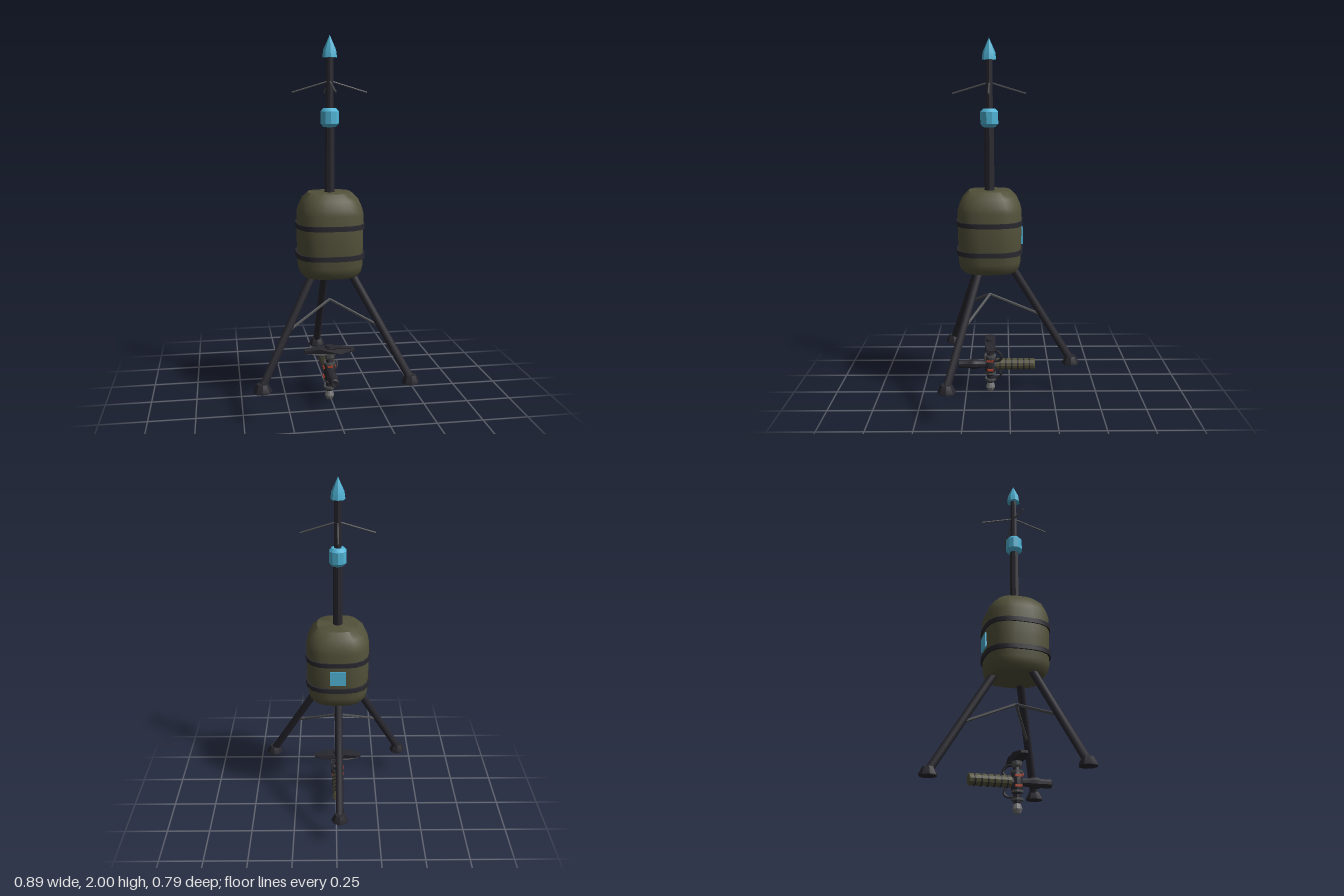
import * as THREE from 'three';
import { toCreasedNormals } from 'three/addons/utils/BufferGeometryUtils.js';

function material(name, color) {
  const m = new THREE.MeshStandardMaterial({ color });
  m.name = name;
  return m;
}

export function createModel() {
  const olive = material('olive shell', 0x52513a);
  const dark = material('dark metal', 0x28282f);
  const grey = material('grey metal', 0x4b4c4e);
  const light = material('light metal', 0x707072);
  const blue = material('blue glow', 0x4fb4d6);
  const red = material('red accent', 0xa8402c);

  const root = new THREE.Group();
  const device = new THREE.Group();
  device.name = 'device';
  device.position.set(-0.01, 0, 0.11);
  root.add(device);

  const V = (x, y, z) => new THREE.Vector3(x, y, z);
  function add(name, geometry, mat, parent = device) {
    const mesh = new THREE.Mesh(geometry, mat);
    mesh.name = name;
    parent.add(mesh);
    return mesh;
  }
  // Turned part from [radius, height] pairs, bottom to top
  function turned(name, profile, sides, mat, parent) {
    const g = new THREE.LatheGeometry(profile.map(([r, y]) => new THREE.Vector2(r, y)), sides);
    return add(name, toCreasedNormals(g, 0.5), mat, parent);
  }
  // Straight rod between two points
  function rod(name, a, b, r, sides, mat, parent) {
    const d = b.clone().sub(a);
    const g = new THREE.CylinderGeometry(r, r, d.length(), sides);
    const mesh = add(name, toCreasedNormals(g, 0.9), mat, parent);
    mesh.position.copy(a).add(b).multiplyScalar(0.5);
    mesh.quaternion.setFromUnitVectors(V(0, 1, 0), d.normalize());
    return mesh;
  }
  // Turned part pushed out to a rounded-square section
  function squared(name, profile, mat, crease) {
    const g = new THREE.LatheGeometry(profile.map(([r, y]) => new THREE.Vector2(r, y)), 24);
    const p = g.attributes.position;
    for (let i = 0; i < p.count; i++) {
      const x = p.getX(i), z = p.getZ(i), r = Math.hypot(x, z);
      if (r < 1e-6) continue;
      const k = 1 / Math.cbrt(Math.abs(x / r) ** 3 + Math.abs(z / r) ** 3);
      p.setXYZ(i, x * k, p.getY(i), z * k);
    }
    return add(name, toCreasedNormals(g, crease), mat);
  }

  // Padded canister with two straps
  squared('canister', [[0, 0.73], [0.145, 0.73], [0.166, 0.755], [0.173, 0.79], [0.176, 0.93],
    [0.177, 1.07], [0.17, 1.1], [0.15, 1.145], [0.115, 1.18], [0, 1.18]], olive, 0.75);
  for (const y of [0.845, 1.005]) {
    squared('strap', [[0.17, y - 0.013], [0.184, y - 0.013], [0.184, y + 0.013], [0.17, y + 0.013]], dark, 0.6);
  }
  // Screen on the back
  add('screen', new THREE.BoxGeometry(0.09, 0.085, 0.009), blue).position.set(0, 0.925, -0.179);

  // Tripod: legs, feet and braces
  for (const [x, z] of [[-0.39, 0.235], [0.405, 0.222], [-0.009, -0.463]]) {
    const at = (k, y) => V(x * k, y, z * k);
    rod('leg', at(0.19, 0.8), at(1, 0.19), 0.022, 8, dark);
    turned('foot', [[0, 0.165], [0.048, 0.165], [0.048, 0.173], [0.03, 0.21], [0, 0.212]], 8, dark)
      .position.set(x, 0, z);
    rod('brace', V(0, 0.583, 0), at(0.6, 0.465), 0.008, 6, grey);
  }

  // Mast with collar, aerials and tip
  turned('lowerMast', [[0, 1.17], [0.027, 1.17], [0.025, 1.54], [0, 1.54]], 8, dark);
  turned('upperMast', [[0, 1.54], [0.02, 1.54], [0.019, 1.9], [0, 1.9]], 8, dark);
  turned('collar', [[0, 1.525], [0.034, 1.525], [0.049, 1.543], [0.049, 1.608], [0.034, 1.625], [0, 1.625]], 10, blue);
  turned('tip', [[0, 1.885], [0.039, 1.885], [0.034, 1.925], [0, 2]], 8, blue);
  for (let i = 0; i < 4; i++) {
    const a = i * Math.PI / 2;
    rod('aerial', V(0, 1.765, 0), V(Math.cos(a) * 0.2, 1.705, Math.sin(a) * 0.2), 0.005, 6, grey);
  }

  // Hand tool hanging below the tripod
  const tool = new THREE.Group();
  tool.name = 'tool';
  device.add(tool);
  turned('toolKnob', [[0, 0], [0.018, 0.006], [0.027, 0.027], [0.02, 0.05], [0.014, 0.06]], 10, light, tool);
  turned('toolStem', [[0, 0.05], [0.017, 0.05], [0.02, 0.065], [0.02, 0.1], [0.03, 0.115], [0.033, 0.13],
    [0.033, 0.2], [0.025, 0.215], [0.02, 0.225], [0.02, 0.27], [0, 0.27]], 10, dark, tool);
  for (const y of [0.075, 0.115, 0.215]) {
    turned('stemRing', [[0.015, y - 0.006], [0.033, y - 0.006], [0.033, y + 0.006], [0.015, y + 0.006]], 10, grey, tool);
  }
  for (const s of [-1, 1]) {
    for (const y of [0.14, 0.192]) {
      add('redMark', new THREE.BoxGeometry(0.009, 0.012, 0.036), red, tool).position.set(s * 0.032, y, 0);
    }
  }
  add('redFrontMark', new THREE.BoxGeometry(0.03, 0.012, 0.009), red, tool).position.set(0, 0.203, 0.029);

  // Tapered cross plate on top of the tool
  const outline = new THREE.Shape();
  [[-0.14, 0.281], [-0.06, 0.271], [0.06, 0.271], [0.14, 0.281], [0.14, 0.295], [0.06, 0.306], [-0.06, 0.306], [-0.14, 0.295]]
    .forEach(([x, y], i) => (i ? outline.lineTo(x, y) : outline.moveTo(x, y)));
  const plate = new THREE.ExtrudeGeometry(outline, { depth: 0.06, bevelEnabled: false });
  plate.translate(0, 0, -0.03);
  const pp = plate.attributes.position;
  for (let i = 0; i < pp.count; i++) {
    if (Math.abs(pp.getX(i)) > 0.1) pp.setZ(i, pp.getZ(i) * 0.6);
  }
  plate.computeVertexNormals();
  add('crossPlate', plate, dark, tool);
  turned('plateCap', [[0, 0.3], [0.027, 0.3], [0.024, 0.317], [0, 0.319]], 10, dark, tool);
  turned('plateNeck', [[0, 0.238], [0.022, 0.238], [0.029, 0.25], [0.029, 0.272], [0, 0.272]], 10, grey, tool);

  // Horizontal parts: ribbed olive grip to the back, nozzle to the front
  const axis = new THREE.Group();
  axis.name = 'toolBarrel';
  axis.position.y = 0.165;
  axis.rotation.x = Math.PI / 2;
  tool.add(axis);
  turned('grip', [[0, -0.257], [0.028, -0.257], [0.032, -0.252], [0.032, -0.035], [0, -0.035]], 12, olive, axis);
  for (let i = 0; i < 6; i++) {
    const y = -0.225 + i * 0.034;
    turned('gripRib', [[0.03, y - 0.004], [0.034, y - 0.004], [0.034, y + 0.004], [0.03, y + 0.004]], 12, dark, axis);
  }
  turned('nozzle', [[0, 0.02], [0.022, 0.02], [0.022, 0.06], [0.03, 0.085], [0.03, 0.11], [0.024, 0.125],
    [0.024, 0.18], [0.018, 0.185], [0, 0.18]], 10, dark, axis);
  turned('gripCollar', [[0, -0.045], [0.024, -0.045], [0.024, -0.02], [0, -0.02]], 10, grey, axis);

  // Hoses looping around the tool
  const hose = (name, pts, r, mat) =>
    add(name, new THREE.TubeGeometry(new THREE.CatmullRomCurve3(pts), 16, r, 6), mat, tool);
  hose('upperHose', [V(0.015, 0.255, -0.01), V(0.03, 0.25, -0.045), V(0.035, 0.22, -0.065),
    V(0.028, 0.195, -0.05), V(0.02, 0.19, -0.02)], 0.008, dark);
  hose('lowerHose', [V(0.01, 0.09, -0.01), V(0.02, 0.09, -0.045), V(0.028, 0.11, -0.062),
    V(0.028, 0.14, -0.05)], 0.007, dark);
  hose('frontHose', [V(0.01, 0.24, 0.015), V(0.035, 0.235, 0.03), V(0.035, 0.2, 0.03), V(0.02, 0.18, 0.02)], 0.005, grey);

  return root;
}
